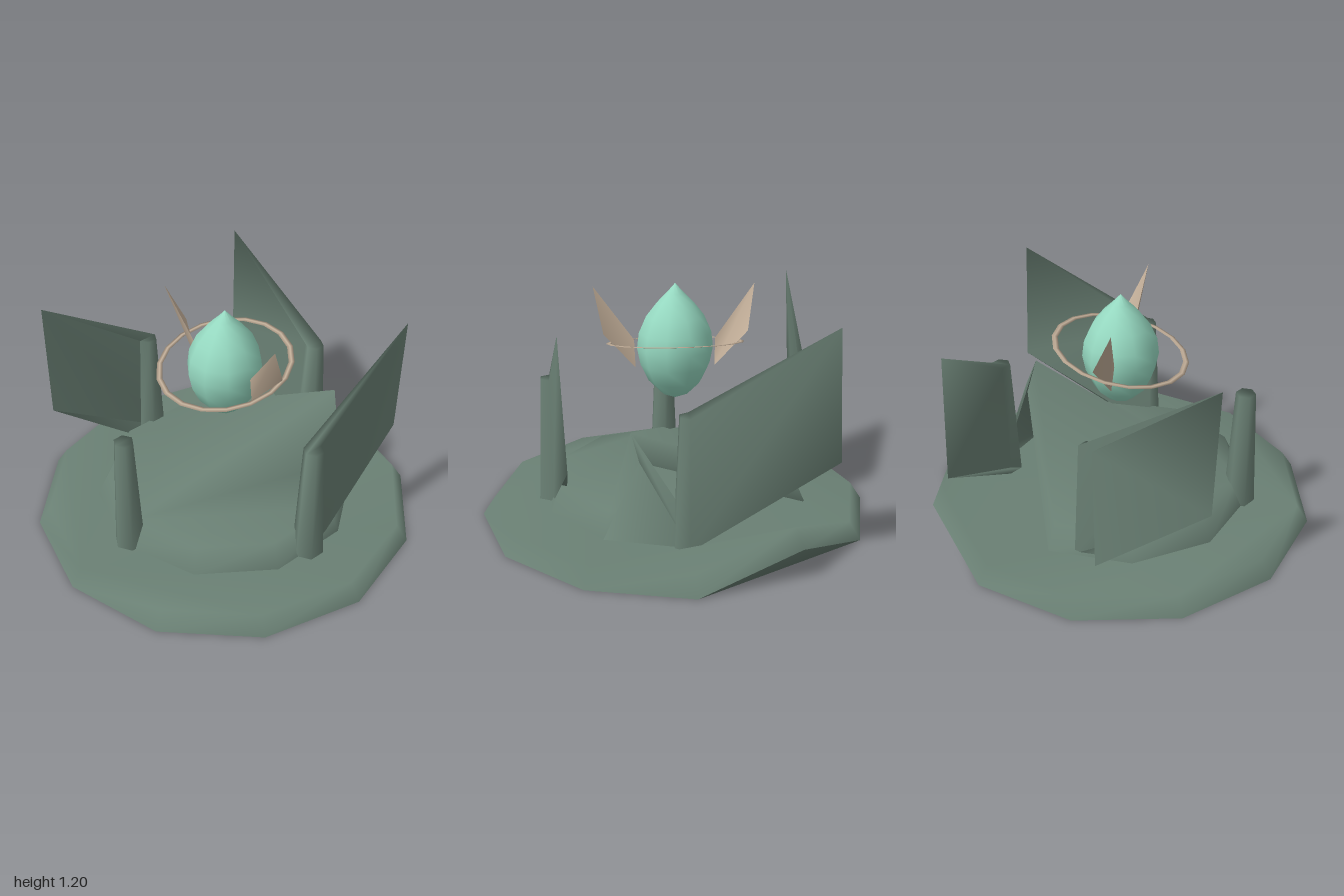
import * as THREE from 'three';

const V = (x, y, z) => new THREE.Vector3(x, y, z);

// horizontal polygon ring, first corner towards +z
function ring(sides, radius, y, cx = 0, cz = 0) {
  return Array.from({ length: sides }, (_, k) => {
    const a = (k / sides) * Math.PI * 2;
    return V(cx + radius * Math.sin(a), y, cz + radius * Math.cos(a));
  });
}

// smooth indexed surface from points and triangles
function surface(points, index) {
  const g = new THREE.BufferGeometry().setFromPoints(points);
  g.setIndex(index);
  g.computeVertexNormals();
  return g;
}

// triangles of a polygon cap: listed corners are cut off first, the rest fans from corner 0
function cap(n, ears) {
  const left = Array.from({ length: n }, (_, k) => k), tris = [];
  for (const e of ears) {
    const i = left.indexOf(e);
    tris.push([left[i - 1], e, left[i + 1]]);
    left.splice(i, 1);
  }
  for (let k = 1; k < left.length - 1; k++) tris.push([left[0], left[k], left[k + 1]]);
  return tris;
}

// solid between two rings, with the underside kept sharp
function slab(bottom, top, earsTop = [], earsBottom = earsTop) {
  const n = bottom.length, index = [];
  for (let k = 0; k < n; k++) {
    const j = (k + 1) % n;
    index.push(k, j, n + j, k, n + j, n + k);
  }
  for (const [a, b, c] of cap(n, earsTop)) index.push(n + a, n + b, n + c);
  for (const [a, b, c] of cap(n, earsBottom)) index.push(2 * n + a, 2 * n + c, 2 * n + b);
  return surface([...bottom, ...top, ...bottom], index);
}

export function createModel() {
  const model = new THREE.Group();
  model.name = 'shrine';
  const mat = (name, color, side = THREE.FrontSide) => {
    const m = new THREE.MeshStandardMaterial({ color, side });
    m.name = name;
    return m;
  };
  const stone = mat('grey green stone', 0x6a8074, THREE.DoubleSide);
  const crystal = mat('mint crystal', 0x96d9c1);
  const bronze = mat('pale bronze', 0xc4b09a, THREE.DoubleSide);

  const add = (name, geometry, material) => {
    const mesh = new THREE.Mesh(geometry, material);
    mesh.name = name;
    model.add(mesh);
    return mesh;
  };

  // base plinth with one heaved corner
  const baseLow = ring(12, 1, 0), baseTop = ring(12, 0.94, 0.09);
  for (const r of [baseLow, baseTop]) r[7].y += 0.15;
  add('base', slab(baseLow, baseTop, [6, 7], [7]), stone);

  // upper step with one back corner drawn up and across
  const stepLow = ring(10, 0.68, 0.085), stepTop = ring(10, 0.62, 0.215);
  for (const r of [stepLow, stepTop]) r[6].add(V(0.625, 0.405, -0.03));
  add('upperStep', slab(stepLow, stepTop, [5]), stone);

  // pillars; three have one edge drawn out into a tall blade
  const pillars = [
    ['frontPillar', 0, 0.635, null],
    ['leftPillar', 0.635, 0, V(-0.01, 0.4, -0.637)],
    ['backPillar', 0, -0.635, V(-0.635, 0.4, 0)],
    ['rightPillar', -0.635, 0, V(0, 0.4, 0.628)],
  ];
  for (const [name, x, z, pull] of pillars) {
    const low = ring(6, 0.08, 0.09, x, z), top = ring(6, 0.05, 0.73, x, z);
    if (pull) for (const r of [low, top]) r[4].add(pull);
    add(name, slab(low, top), stone);
  }

  // floating crystal drop
  const drop = [
    [0, 0.605], [0.07, 0.635], [0.135, 0.7], [0.175, 0.785], [0.192, 0.87],
    [0.182, 0.95], [0.145, 1.035], [0.09, 1.105], [0.045, 1.15], [0, 1.2],
  ].map(([r, y]) => new THREE.Vector2(r, y));
  add('crystalDrop', new THREE.LatheGeometry(drop, 10, Math.PI / 10), crystal);

  // thin flat tilted halo
  const halo = new THREE.TorusGeometry(0.333, 0.015, 4, 18);
  halo.scale(1, 1, 0.15);
  const haloMesh = add('halo', halo, bronze);
  haloMesh.position.y = 0.897;
  haloMesh.rotation.x = Math.PI / 2 + 0.195;

  // mirrored shards on both sides of the crystal
  for (const s of [1, -1]) {
    const corners = [V(0.2 * s, 0.77, 0), V(0.36 * s, 0.96, -0.05), V(0.405 * s, 1.18, 0.05), V(0.205 * s, 0.91, 0.017)];
    const index = s > 0 ? [0, 1, 2, 0, 2, 3] : [0, 2, 1, 0, 3, 2];
    add(s > 0 ? 'leftShard' : 'rightShard', surface(corners, index), bronze);
  }

  return model;
}
